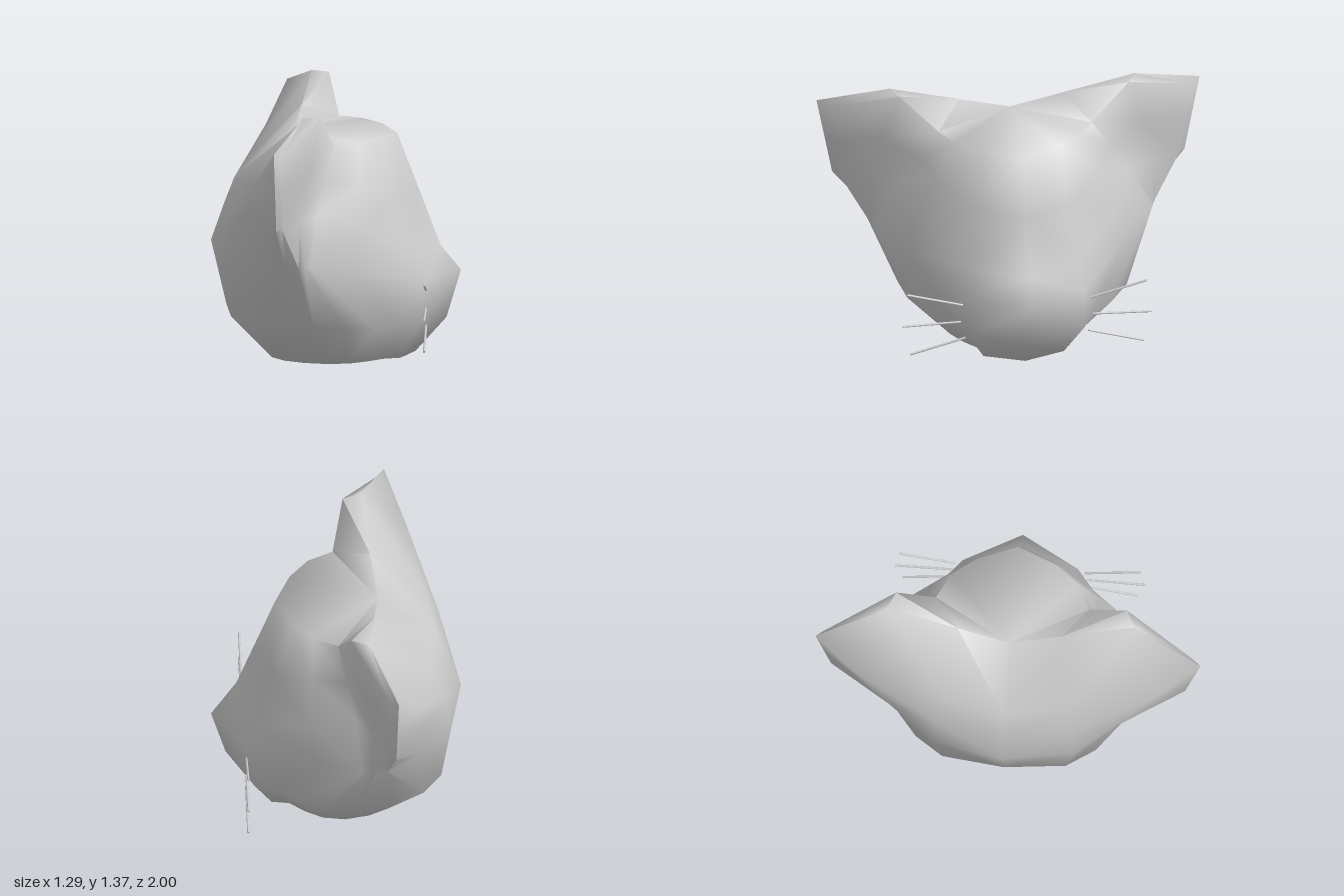
import * as THREE from 'three';
import { toCreasedNormals } from 'three/addons/utils/BufferGeometryUtils.js';

const grey = new THREE.MeshStandardMaterial({ color: 0xcccccc });
const mix = (p, q, t) => p.map((v, i) => v + (q[i] - v) * t);

// Each half section runs in 10 points from the back midline round the +z side
// to the front midline; the lower ones are ovals with a pointed muzzle.
function ovalSection(centre, length, width, y, drop, muzzle) {
  return Array.from({ length: 10 }, (_, i) => {
    if (i === 8) return muzzle;
    const a = Math.PI * (1 - i / 9);
    const front = Math.max(0, Math.cos(a));
    const x = length * Math.cos(a) * (i > 4 && i < 8 ? 0.75 : 1);
    const z = i % 9 ? width * Math.sin(a) ** 0.6 * (1 - 0.3 * front) : 0;
    return [centre + x, y - drop * front, z];
  });
}

// Upper sections: the ear grows out of the side as a slab with a back and a front skin
function earSection(back, backSide, backSkin, rimBack, rimFront, root, cheek, muzzle, front,
  frontSkin = mix(rimFront, root, 0.5)) {
  return [back, backSide, backSkin, rimBack, rimFront, frontSkin, root, cheek, muzzle, front];
}

function headSections() {
  const whiskerLevel = earSection([-.65, .6, 0], [-.585, .6, .37], [-.42, .6, .57], [-.24, .6, .72],
    [-.17, .6, .75], [-.11, .6, .73], [.12, .55, .56], [.48, .45, .3], [.645, .45, 0]);
  const brow = earSection([-.58, .8, 0], [-.55, .8, .36], [-.48, .83, .6], [-.28, .83, .92],
    [-.25, .83, .89], [-.08, .85, .6], [.15, .78, .53], [.42, .58, .27], [.54, .58, 0]);
  const crown = earSection([-.22, 1.18, 0], [-.19, 1.26, .27], [-.15, 1.37, .64], [-.29, 1.25, 1],
    [-.25, 1.23, .96], [0, 1.18, .4], [.13, 1.18, .33], [.23, 1.18, .2], [.315, 1.17, 0],
    [-.06, 1.37, .6]);
  // Halfway up, with the back of the skull and ear pushed outwards
  const bulge = [[-.13, -.06, 0], [-.11, -.06, 0], [-.08, -.05, .17]];
  const forehead = brow.map((p, i) => {
    const m = mix(p, crown[i], 0.5);
    return bulge[i] ? m.map((v, k) => v + bulge[i][k]) : m;
  });
  return [ovalSection(.03, .38, .37, .02, 0, [.34, .025, .21]),
    ovalSection(0, .57, .61, .26, .06, [.43, .2, .3]), whiskerLevel, brow, forehead, crown];
}

function headGeometry() {
  const rows = headSections();
  const pos = [];
  const tri = (a, b, c) => {
    pos.push(...a, ...b, ...c);
    for (const p of [a, c, b]) pos.push(p[0], p[1], -p[2]); // mirrored half
  };
  const quad = (a, b, c, d) => { tri(a, b, c); tri(a, c, d); };

  // Skin between the cross-sections
  for (let r = 0; r < rows.length - 1; r++) {
    const lo = rows[r], hi = rows[r + 1];
    for (let c = 0; c < 9; c++) quad(lo[c], lo[c + 1], hi[c + 1], hi[c]);
  }
  // Crown and the top edges of the ears
  const top = rows[rows.length - 1];
  for (const q of [[2, 3, 4, 5], [1, 2, 5, 6], [0, 1, 6, 7], [0, 7, 8, 9]]) {
    quad(...q.map((i) => top[i]));
  }
  // Underside
  for (let c = 0; c < 9; c++) tri([.05, 0, 0], rows[0][c + 1], rows[0][c]);

  const geo = new THREE.BufferGeometry();
  geo.setAttribute('position', new THREE.Float32BufferAttribute(pos, 3));
  return toCreasedNormals(geo, 1.3);
}

// Thin rod between two points
function rod(a, b, radius) {
  const dir = b.clone().sub(a);
  const mesh = new THREE.Mesh(new THREE.CylinderGeometry(radius, radius, dir.length(), 8), grey);
  mesh.position.copy(a).add(b).multiplyScalar(0.5);
  mesh.quaternion.setFromUnitVectors(new THREE.Vector3(0, 1, 0), dir.normalize());
  return mesh;
}

export function createModel() {
  const model = new THREE.Group();
  model.name = 'catHead';

  const head = new THREE.Mesh(headGeometry(), grey);
  head.name = 'headWithEars';
  model.add(head);

  // Three whiskers on each cheek: inner z, y then outer z, y
  const whiskers = new THREE.Group();
  whiskers.name = 'whiskers';
  for (const side of [1, -1]) {
    for (const [z0, y0, z1, y1] of [[.335, .41, .625, .49], [.345, .312, .65, .305], [.32, .217, .61, .137]]) {
      const w = rod(new THREE.Vector3(.475, y0, side * z0), new THREE.Vector3(.475, y1, side * z1), .006);
      w.name = 'whisker';
      whiskers.add(w);
    }
  }
  model.add(whiskers);
  return model;
}
